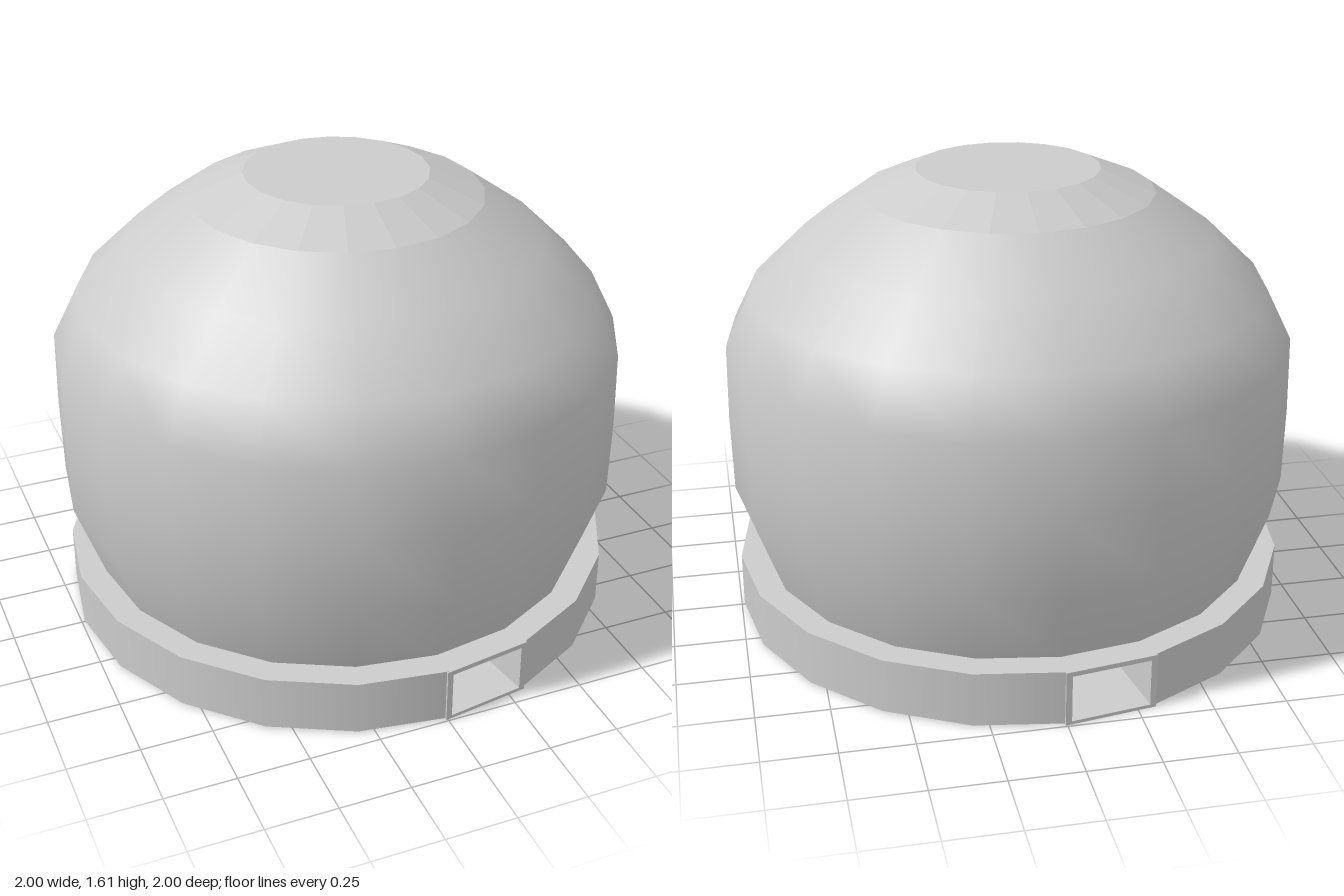
import * as THREE from 'three';

const SIDES = 20;
const STEP = (Math.PI * 2) / SIDES;

export function createModel() {
  const model = new THREE.Group();
  const smooth = new THREE.MeshStandardMaterial({ color: 0xcccccc });
  const flat = new THREE.MeshStandardMaterial({ color: 0xcccccc, flatShading: true });
  const thin = new THREE.MeshStandardMaterial({ color: 0xcccccc, side: THREE.DoubleSide });

  const add = (name, geometry, material, parent = model) => {
    const mesh = new THREE.Mesh(geometry, material);
    mesh.name = name;
    parent.add(mesh);
    return mesh;
  };

  // Rounded body, narrowing to the base
  const profile = [
    [0.895, 0.2], [0.995, 0.48], [1, 0.75], [0.995, 1.02],
    [0.905, 1.2], [0.72, 1.38], [0.51, 1.53],
  ].map(([r, y]) => new THREE.Vector2(r, y));
  add('dome', new THREE.LatheGeometry(profile, SIDES), smooth);

  // Faceted shoulder and flat top
  add('crown', new THREE.CylinderGeometry(0.32, 0.51, 0.08, SIDES, 1, true), flat)
    .position.y = 1.57;
  const cap = add('topCap', new THREE.CircleGeometry(0.32, SIDES), flat);
  cap.rotation.x = -Math.PI / 2;
  cap.position.y = 1.61;

  // Hollow base: a plate and two rim halves, each leaving one side open for the tunnel
  const base = new THREE.Group();
  base.name = 'base';
  model.add(base);
  const plate = add('basePlate', new THREE.CircleGeometry(0.99, SIDES), thin, base);
  plate.rotation.x = -Math.PI / 2;
  plate.position.y = 0.2;
  for (const start of [STEP, Math.PI + STEP]) {
    const wall = new THREE.CylinderGeometry(
      0.99, 0.99, 0.195, SIDES / 2 - 1, 1, true, start, Math.PI - STEP);
    add('baseRim', wall, thin, base).position.y = 0.1025;
  }

  // Square tunnel running right through the base
  const w = 0.162, length = 1.964;
  const section = new THREE.Shape();
  section.moveTo(-w, 0).lineTo(w, 0).lineTo(w, 0.199).lineTo(-w, 0.199).closePath();
  const hole = new THREE.Path();
  hole.moveTo(-w + 0.022, 0.012).lineTo(-w + 0.022, 0.182)
    .lineTo(w - 0.022, 0.182).lineTo(w - 0.022, 0.012).closePath();
  section.holes.push(hole);
  const tunnelGeometry = new THREE.ExtrudeGeometry(section, { depth: length, bevelEnabled: false });
  tunnelGeometry.translate(0, 0, -length / 2);
  add('tunnel', tunnelGeometry, flat, base).rotation.y = STEP / 2;

  return model;
}
